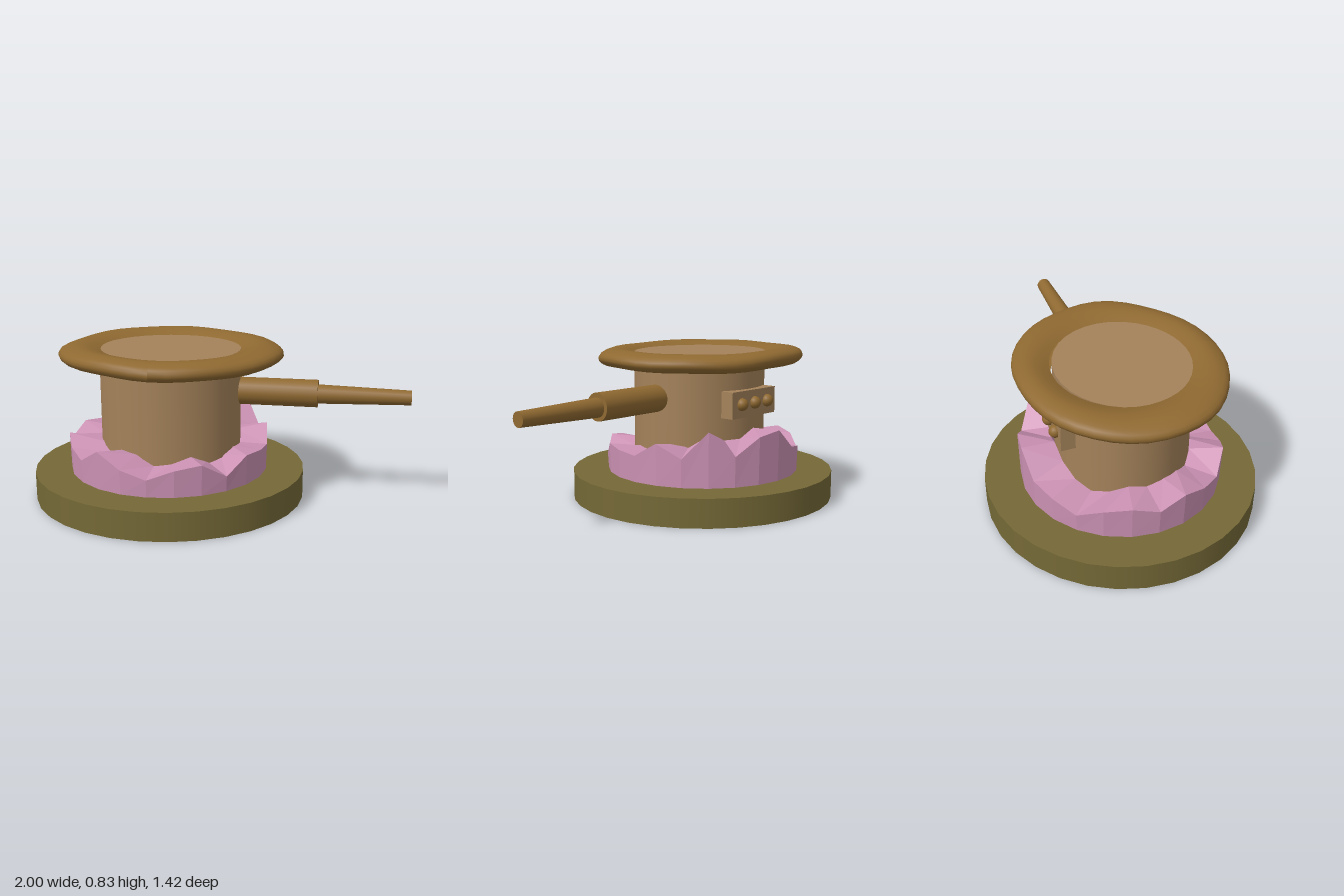
import * as THREE from 'three';

const CX = -0.27; // axis of the turret
const paint = (color, extra = {}) => new THREE.MeshStandardMaterial({ color, ...extra });

function addPart(group, name, geometry, material, x, y, z) {
  const mesh = new THREE.Mesh(geometry, material);
  mesh.name = name;
  mesh.position.set(x, y, z);
  group.add(mesh);
  return mesh;
}

// Jagged collar: outer wall and broken top, lofted around the axis
function collarGeometry() {
  // heights every 15 degrees, from +x towards +z
  const heights = [0.29, 0.30, 0.31, 0.23, 0.31, 0.29, 0.24, 0.28, 0.35, 0.27, 0.30, 0.34,
    0.29, 0.33, 0.31, 0.25, 0.29, 0.31, 0.42, 0.40, 0.31, 0.44, 0.30, 0.37];
  const n = heights.length;
  const positions = [], index = [];
  for (let i = 0; i < n; i++) {
    const a = (i / n) * Math.PI * 2;
    const h = heights[i];
    const inner = 0.6 * h + 0.4 * heights[(i + 1) % n];
    for (const [r, y] of [[0.53, 0.15], [0.535, h], [0.36, inner], [0.36, 0.15]]) {
      positions.push(r * Math.cos(a), y, r * 0.985 * Math.sin(a));
    }
    const p = i * 4, q = ((i + 1) % n) * 4;
    for (let k = 0; k < 3; k++) {
      index.push(p + k, p + k + 1, q + k, q + k, p + k + 1, q + k + 1);
    }
  }
  const geometry = new THREE.BufferGeometry();
  geometry.setAttribute('position', new THREE.Float32BufferAttribute(positions, 3));
  geometry.setIndex(index);
  geometry.computeVertexNormals();
  return geometry;
}

// Cushion rim: rounded ring whose surface gently undulates
function rimGeometry() {
  const profile = new THREE.SplineCurve([
    [0.36, 0.735], [0.47, 0.728], [0.555, 0.738], [0.592, 0.768],
    [0.575, 0.803], [0.5, 0.823], [0.43, 0.817], [0.365, 0.797],
  ].map(([r, y]) => new THREE.Vector2(r, y))).getPoints(18);
  const geometry = new THREE.LatheGeometry(profile, 40);
  const pos = geometry.attributes.position;
  for (let i = 0; i < pos.count; i++) {
    const x = pos.getX(i), y = pos.getY(i), z = pos.getZ(i);
    const a = Math.atan2(z, x), r = Math.hypot(x, z);
    const edge = (r - 0.36) / 0.235;
    const wave = 0.005 * Math.sin(3 * a + 1) + 0.003 * Math.sin(7 * a) - 0.004 * Math.sin(a);
    const swell = 1 + 0.008 * edge * Math.sin(5 * a + 0.5);
    // slightly narrower from front to back
    const depth = 0.945 - 0.06 * edge;
    pos.setXYZ(i, x * swell, y + wave * edge, z * swell * depth);
  }
  geometry.computeVertexNormals();
  return geometry;
}

export function createModel() {
  const model = new THREE.Group();
  model.name = 'turret';
  const olive = paint(0x756937);
  const tan = paint(0xa4825a);
  const brown = paint(0x8f6931, { side: THREE.DoubleSide });
  const pink = paint(0xcc92b4, { flatShading: true, side: THREE.DoubleSide });

  // Base disc
  const base = addPart(model, 'base', new THREE.CylinderGeometry(0.727, 0.727, 0.15, 32), olive, CX - 0.002, 0.075, 0);
  base.scale.z = 0.977;

  addPart(model, 'jaggedCollar', collarGeometry(), pink, CX - 0.005, 0, 0);

  // Body drum, its top showing inside the rim
  const body = addPart(model, 'body', new THREE.CylinderGeometry(0.375, 0.375, 0.65, 32), tan, CX + 0.01, 0.475, 0.012);
  body.scale.z = 0.92;

  addPart(model, 'rim', rimGeometry(), brown, CX + 0.015, 0, 0);

  // Barrel in two steps, pointing to +x
  const barrel = new THREE.Group();
  barrel.name = 'barrel';
  barrel.position.set(0, 0.577, -0.012);
  model.add(barrel);
  for (const [name, tip, root, x0, x1, y] of [
    ['barrelSleeve', 0.072, 0.072, 0.02, 0.522, 0],
    ['barrelTube', 0.038, 0.051, 0.5, 1.0, -0.002],
  ]) {
    const geometry = new THREE.CylinderGeometry(tip, root, x1 - x0, 20);
    geometry.rotateZ(-Math.PI / 2);
    addPart(barrel, name, geometry, brown, (x0 + x1) / 2, y, 0);
  }

  // Control box on the back with three knobs
  addPart(model, 'controlBox', new THREE.BoxGeometry(0.355, 0.14, 0.075), tan, CX + 0.01, 0.55, -0.333);
  for (const i of [-1, 0, 1]) {
    addPart(model, 'knob', new THREE.SphereGeometry(0.033, 16, 12), brown, CX + 0.01 + i * 0.105, 0.552, -0.375);
  }
  return model;
}
